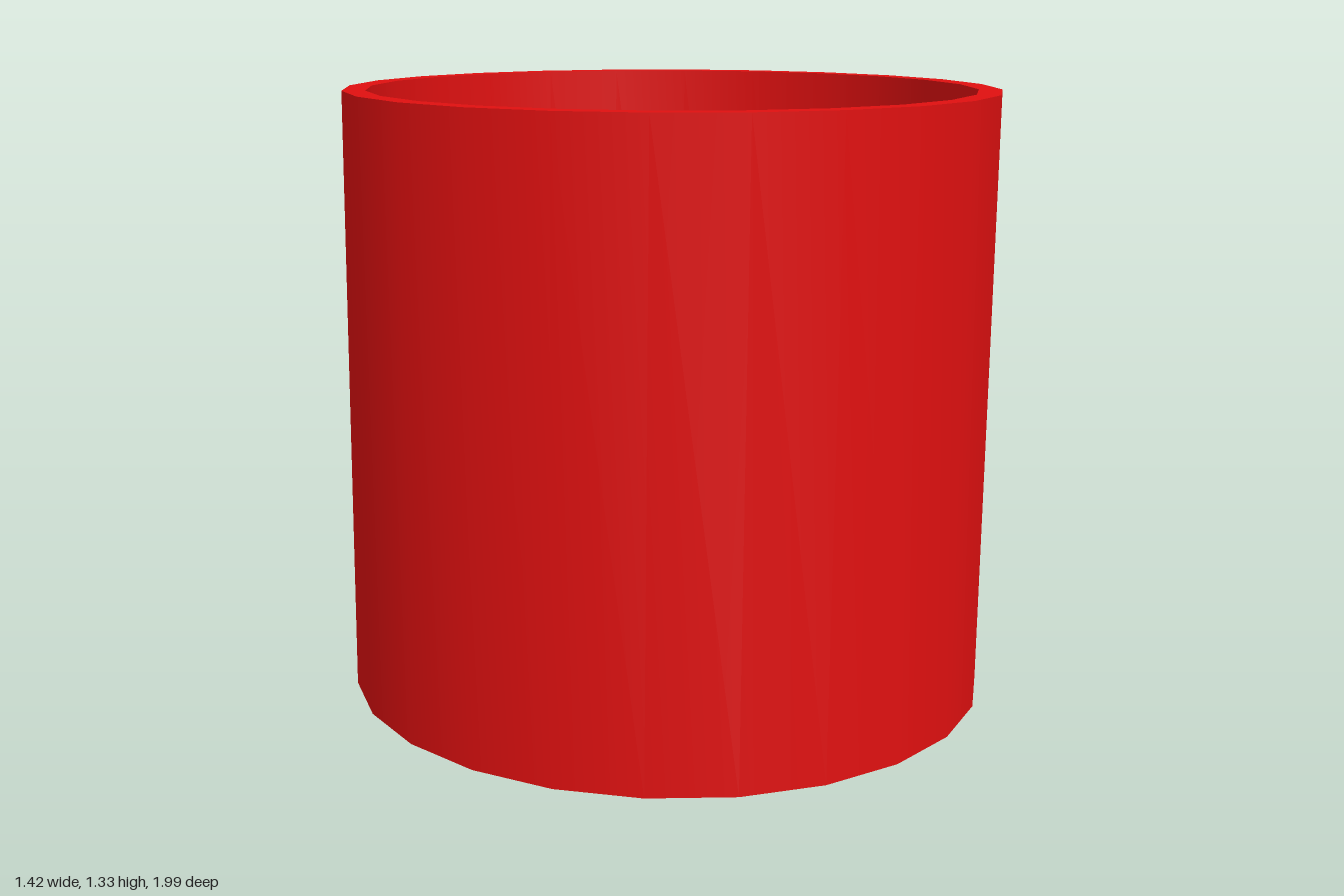
import * as THREE from 'three';
import { toCreasedNormals } from 'three/addons/utils/BufferGeometryUtils.js';

const HEIGHT = 1.33, OUTER = 0.71, INNER = 0.66, FLOOR = 0.05;

export function createModel() {
  const mug = new THREE.Group();
  mug.name = 'mug';
  const red = new THREE.MeshStandardMaterial({ color: 0xe01010, side: THREE.DoubleSide });

  // Hollow cup: underside, outer wall, rim, inner wall, inner floor
  const profile = [
    [0, 0], [OUTER, 0], [OUTER, HEIGHT], [INNER, HEIGHT], [INNER, FLOOR], [0, FLOOR],
  ].map(([r, y]) => new THREE.Vector2(r, y));
  const cupGeometry = toCreasedNormals(new THREE.LatheGeometry(profile, 24, -0.015), 0.6);
  const cup = new THREE.Mesh(cupGeometry, red);
  cup.name = 'cup';
  cup.position.z = 0.285;
  mug.add(cup);

  // Handle: open torus arc at the back, stretched in depth, ending inside the wall
  const arc = THREE.MathUtils.degToRad(144);
  const handleGeometry = new THREE.TorusGeometry(0.593, 0.047, 12, 12, arc)
    .rotateZ(-arc / 2)
    .rotateY(Math.PI / 2)
    .scale(1, 1, 1.295);
  const handle = new THREE.Mesh(handleGeometry, red);
  handle.name = 'handle';
  handle.position.set(0.005, 0.665, -0.17);
  mug.add(handle);

  return mug;
}
